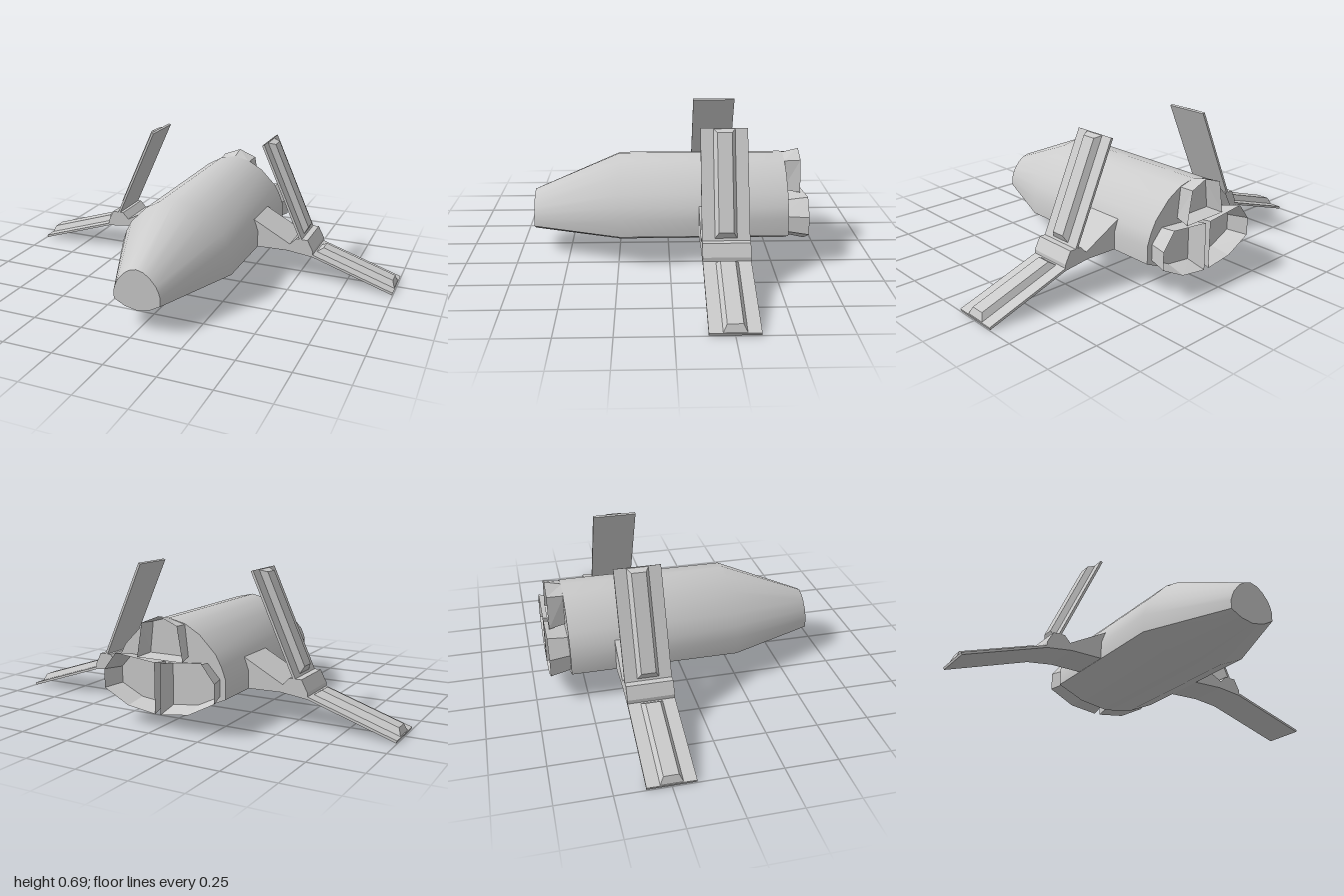
import * as THREE from 'three';
import { toCreasedNormals } from 'three/addons/utils/BufferGeometryUtils.js';
import { ConvexGeometry } from 'three/addons/geometries/ConvexGeometry.js';

const Z0 = -0.36, Z1 = -0.14; // chord of the wings and fins

const solid = new THREE.MeshStandardMaterial({ color: 0xcccccc });
const thin = new THREE.MeshStandardMaterial({ color: 0xcccccc, side: THREE.DoubleSide });

function add(parent, name, geometry, material = solid) {
  const mesh = new THREE.Mesh(geometry, material);
  mesh.name = name;
  parent.add(mesh);
  return mesh;
}

// Skin through rings of [x, y, z], ordered back to front, each counterclockwise seen from +z
function loft(rings, capped, crease) {
  const tris = [];
  const n = rings[0].length;
  for (let r = 0; r < rings.length - 1; r++) {
    const b = rings[r], f = rings[r + 1];
    for (let i = 0; i < n; i++) {
      const j = (i + 1) % n;
      tris.push(b[i], b[j], f[i], b[j], f[j], f[i]);
    }
  }
  if (capped) {
    const back = rings[0], front = rings[rings.length - 1];
    for (let i = 1; i < n - 1; i++) {
      tris.push(front[0], front[i], front[i + 1], back[0], back[i + 1], back[i]);
    }
  }
  const g = new THREE.BufferGeometry();
  g.setAttribute('position', new THREE.Float32BufferAttribute(tris.flat(), 3));
  return toCreasedNormals(g, crease);
}

// Half outline from bottom centre to top centre, mirrored to a full ring
function mirrored(half) {
  const other = half.slice(1, -1).reverse().map(([x, y]) => [-x, y]);
  return [...half, ...other];
}

// Prism along z from an outline in x and y
function prism(points, side) {
  const shape = new THREE.Shape(points.map(([x, y]) => new THREE.Vector2(x * side, y)));
  const g = new THREE.ExtrudeGeometry(shape, { depth: Z1 - Z0, bevelEnabled: false });
  return g.translate(0, 0, Z0);
}

// Thin blade from root to tip with a bevelled rib on its outer face
function blade(name, root, tip, side) {
  const group = new THREE.Group();
  group.name = name;
  const a = new THREE.Vector2(...root), b = new THREE.Vector2(...tip);
  const dir = b.clone().sub(a), length = dir.length();
  dir.normalize();
  const out = new THREE.Vector2(-dir.y, dir.x);
  if (out.x < 0) out.negate(); // outer face looks away from the hull
  const at = (s, h) => [a.x + dir.x * s + out.x * h, a.y + dir.y * s + out.y * h];

  add(group, 'bladePlate', prism([at(0, 0), at(length, 0), at(length, 0.012), at(0, 0.012)], side));

  const corners = [];
  const levels = [[0.01, 0.012, 0.052], [0.04, 0.036, 0.034]]; // height, end inset, half width
  for (const [h, inset, w] of levels) {
    for (const s of [inset, length - inset + 0.01]) {
      for (const k of [-1, 1]) {
        const [x, y] = at(s, h);
        corners.push(new THREE.Vector3(x * side, y, (Z0 + Z1) / 2 + k * w));
      }
    }
  }
  add(group, 'bladeRib', new ConvexGeometry(corners));
  return group;
}

export function createModel() {
  const model = new THREE.Group();
  model.name = 'spacecraft';

  // Hull: rounded back over a shallow keel, tapering to a blunt nose
  const section = mirrored([
    [0, 0.06], [0.155, 0.086], [0.29, 0.147], [0.29, 0.235], [0.27, 0.29],
    [0.24, 0.345], [0.16, 0.425], [0.085, 0.468], [0, 0.487],
  ]);
  const full = (z) => section.map(([x, y]) => [x, y, z]);
  const nose = section.map(([x, y]) => [x * 0.4, 0.1 + (y - 0.06) * 0.47, 0.675]);
  add(model, 'hull', loft([full(-0.575), full(0.245), nose], true, 0.6));

  // Upper engine nozzle, an open flared shell
  const upperRear = mirrored([[0, 0.31], [0.12, 0.31], [0.092, 0.47], [0, 0.507]]);
  const upperBase = mirrored([[0, 0.32], [0.1, 0.32], [0.083, 0.464], [0, 0.486]]);
  add(model, 'upperNozzle', loft([
    upperRear.map(([x, y]) => [x, y, -0.655]),
    upperBase.map(([x, y]) => [x, y, -0.57]),
  ], false, 0.1), thin);

  const lowerRear = [[0.015, 0.065], [0.16, 0.085], [0.29, 0.152], [0.29, 0.24], [0.225, 0.322], [0.015, 0.3]];
  const lowerBase = [[0.02, 0.09], [0.15, 0.105], [0.26, 0.158], [0.26, 0.235], [0.2, 0.3], [0.02, 0.285]];

  for (const side of [1, -1]) {
    const label = side > 0 ? 'left' : 'right';

    // Lower engine nozzles, side by side
    const ring = (pts, z) => pts.map(([x, y]) => [x * side, y, z]);
    add(model, label + 'LowerNozzle',
      loft([ring(lowerRear, -0.675), ring(lowerBase, -0.57)], false, 0.1), thin);

    // Wing root and the hinge block that carries both blades
    const wing = new THREE.Group();
    wing.name = label + 'Wing';
    add(wing, 'wingRoot', prism([[0.22, 0.147], [0.47, 0.152], [0.47, 0.185], [0.22, 0.32]], side));
    add(wing, 'hingeBlock', prism([
      [0.45, 0.152], [0.585, 0.135], [0.585, 0.165], [0.555, 0.222], [0.495, 0.222], [0.46, 0.185],
    ], side));

    // Drooping outer wing and the inward leaning fin
    wing.add(blade('outerWing', [0.575, 0.138], [0.995, 0.0], side));
    wing.add(blade('fin', [0.515, 0.215], [0.3, 0.69], side));
    model.add(wing);
  }
  return model;
}
